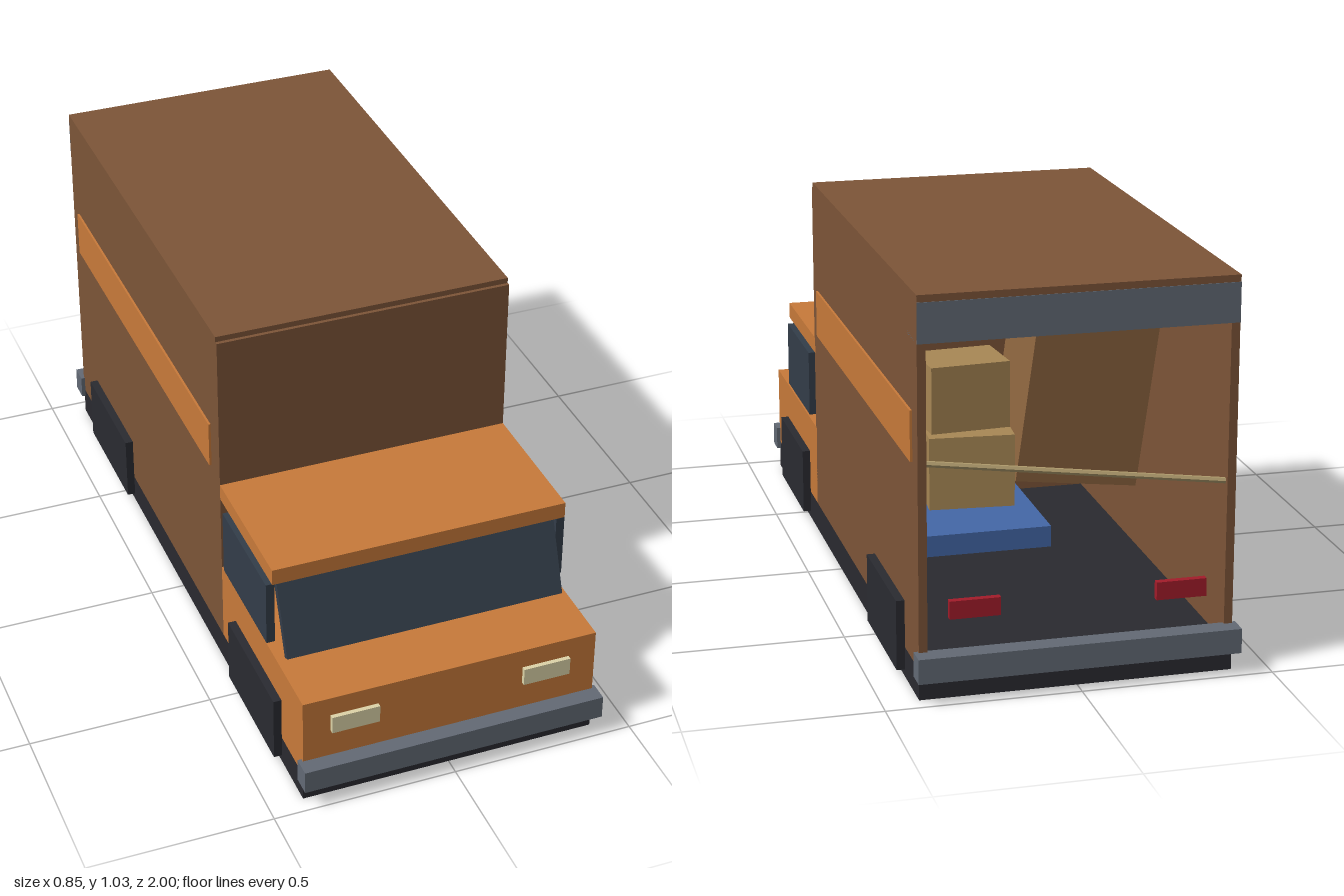
import * as THREE from 'three';

const COLORS = {
  brown: 0x7d5538, orange: 0xc87a3a, dark: 0x2a2a30, tyre: 0x2a2b31, glass: 0x333d49,
  steel: 0x636a75, lamp: 0xddd4a8, red: 0xa31c2a, card: 0xa98855, crate: 0x8f6640,
  blue: 0x4468a8, rope: 0xb5a070,
};
const materials = {};
const mat = (key) => (materials[key] ??= new THREE.MeshStandardMaterial({ color: COLORS[key], flatShading: true }));

export function createModel() {
  const model = new THREE.Group();

  // Box given by its extents on each axis
  const box = (name, color, [x0, x1], [y0, y1], [z0, z1]) => {
    const mesh = new THREE.Mesh(new THREE.BoxGeometry(x1 - x0, y1 - y0, z1 - z0), mat(color));
    mesh.position.set((x0 + x1) / 2, (y0 + y1) / 2, (z0 + z1) / 2);
    mesh.name = name;
    model.add(mesh);
    return mesh;
  };
  // The same box on both sides
  const pair = (name, color, [x0, x1], y, z) => {
    box(name + 'Left', color, [x0, x1], y, z);
    box(name + 'Right', color, [-x1, -x0], y, z);
  };
  const W = 0.405;

  // Chassis, bumpers and wheels
  box('chassis', 'dark', [-W, W], [0, 0.08], [-0.955, 0.955]);
  box('frontBumper', 'steel', [-0.416, 0.416], [0.06, 0.125], [0.945, 1]);
  box('rearBumper', 'steel', [-0.416, 0.416], [0.06, 0.125], [-1, -0.945]);
  pair('frontWheel', 'tyre', [0.36, 0.427], [0.02, 0.205], [0.45, 0.8]);
  pair('rearWheel', 'tyre', [0.387, 0.427], [0.02, 0.205], [-0.8, -0.45]);

  // Cargo body, open at the back
  pair('cargoSide', 'brown', [0.383, W], [0.08, 1.015], [-0.955, 0.335]);
  box('cargoFrontWall', 'brown', [-W, W], [0.08, 1.015], [0.322, 0.345]);
  box('cargoRoof', 'brown', [-W, W], [1.012, 1.03], [-0.955, 0.335]);
  box('rearLintel', 'steel', [-W, W], [0.91, 1.012], [-0.957, -0.86]);
  pair('sideStripe', 'orange', [0.4, 0.411], [0.6, 0.73], [-0.9, 0.28]);

  // Cab
  box('cabBody', 'orange', [-W, W], [0.08, 0.31], [0.335, 0.955]);
  box('cabRoof', 'orange', [-W, W], [0.533, 0.578], [0.335, 0.74]);
  pair('sideWindow', 'glass', [0.392, 0.415], [0.335, 0.52], [0.39, 0.72]);
  const windshield = box('windshield', 'glass', [-0.385, 0.385], [0.315, 0.54], [0.731, 0.751]);
  windshield.rotation.x = -0.38;

  // Lights
  pair('headlight', 'lamp', [0.2, 0.33], [0.205, 0.255], [0.95, 0.967]);
  pair('tailLight', 'red', [0.2, 0.33], [0.21, 0.257], [-0.968, -0.95]);

  // Load inside the cargo body
  box('lowerCarton', 'card', [0.075, 0.295], [0.38, 0.57], [-0.65, -0.45]).rotation.y = -0.08;
  box('upperCarton', 'card', [0.085, 0.295], [0.57, 0.745], [-0.6, -0.44]).rotation.y = 0.08;
  const crate = box('tallCrate', 'crate', [-0.32, 0.01], [0.38, 0.95], [-0.53, -0.27]);
  crate.rotation.set(-0.05, 0, 0.12);
  box('foldedBlanket', 'blue', [-0.15, 0.36], [0.08, 0.14], [-0.18, 0.2]);

  // Rope across the rear opening
  const rope = new THREE.LineCurve3(new THREE.Vector3(0.383, 0.605, -0.937), new THREE.Vector3(-0.383, 0.5, -0.937));
  const ropeMesh = new THREE.Mesh(new THREE.TubeGeometry(rope, 1, 0.008, 6), mat('rope'));
  ropeMesh.name = 'rope';
  model.add(ropeMesh);

  return model;
}
